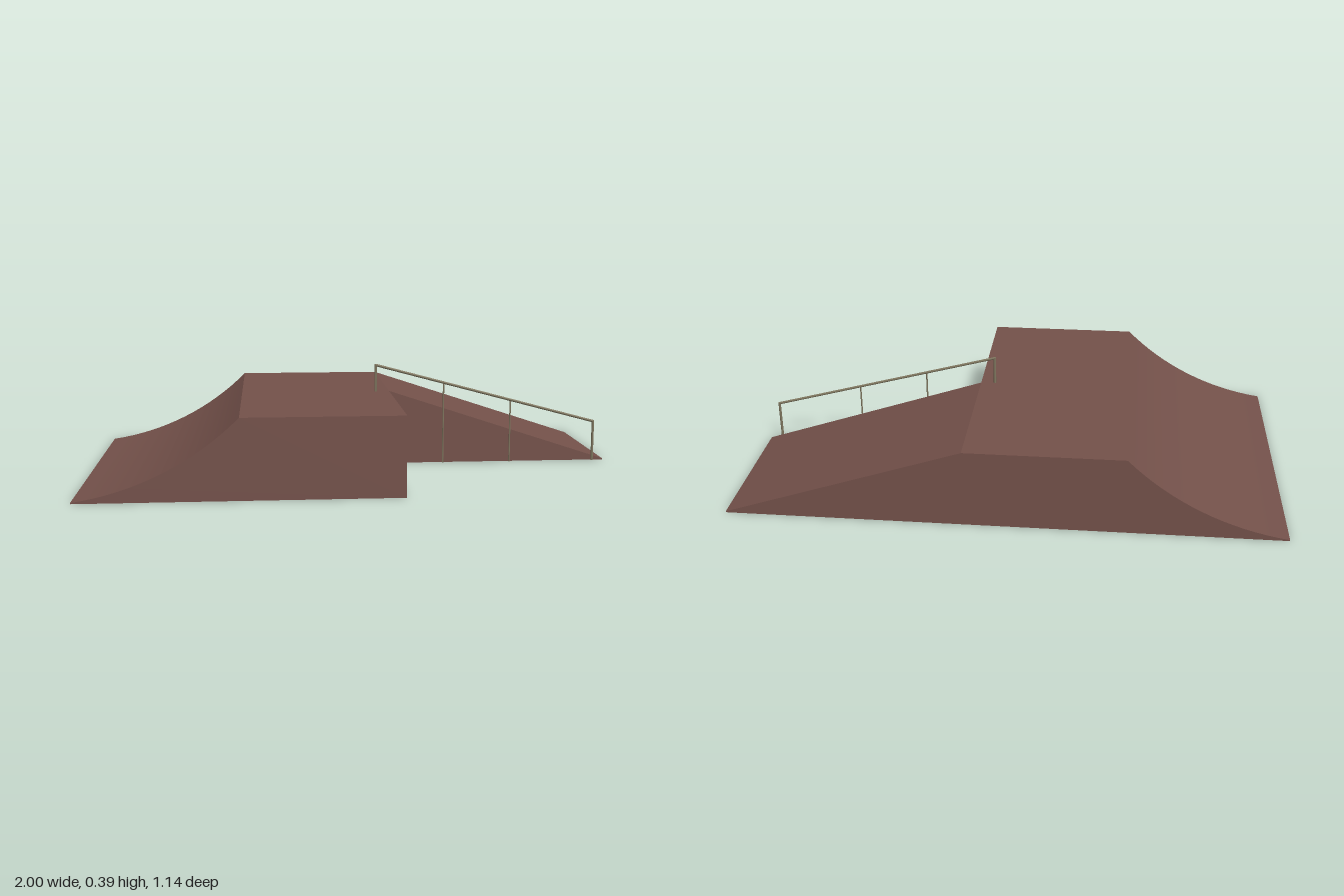
import * as THREE from 'three';

export function createModel() {
  const model = new THREE.Group();
  const brown = new THREE.MeshStandardMaterial({ color: 0x75524b, side: THREE.DoubleSide });
  brown.name = 'brown ramp';
  const khaki = new THREE.MeshStandardMaterial({ color: 0x80775f });
  khaki.name = 'khaki metal';

  const H = 0.287, LIP = 0.004, HALF = 0.571;
  const xLip = -0.43, xDrop = 0.14;

  const add = (name, geometry, material) => {
    const mesh = new THREE.Mesh(geometry, material);
    mesh.name = name;
    model.add(mesh);
    return mesh;
  };

  // Concave transition, an arc from 8 to 44.6 degrees of slope
  const a0 = THREE.MathUtils.degToRad(8), a1 = THREE.MathUtils.degToRad(44.6);
  const sx = (xLip + 1) / (Math.sin(a1) - Math.sin(a0));
  const sy = (H - LIP) / (Math.cos(a0) - Math.cos(a1));
  const arc = [];
  for (let i = 0; i <= 16; i++) {
    const a = a0 + (a1 - a0) * i / 16;
    arc.push(new THREE.Vector2(-1 + sx * (Math.sin(a) - Math.sin(a0)), LIP + sy * (Math.cos(a0) - Math.cos(a))));
  }

  // Surface swept along z over a profile, facing up for rising x
  const sweep = (name, profile, zBack, zFront) => {
    const geo = new THREE.PlaneGeometry(1, 1, profile.length - 1, 1);
    const pos = geo.attributes.position;
    for (let i = 0; i < pos.count; i++) {
      const p = profile[i % profile.length];
      pos.setXYZ(i, p.x, p.y, i < profile.length ? zBack : zFront);
    }
    geo.computeVertexNormals();
    return add(name, geo, brown);
  };
  const v = (x, y) => new THREE.Vector2(x, y);

  sweep('curvedTransition', arc, -HALF, HALF);
  sweep('deck', [v(xLip, H), v(xDrop, H)], -HALF, HALF);
  sweep('bankRamp', [v(xDrop, H), v(1, LIP)], -HALF, 0);
  sweep('curveToe', [v(-1, 0), v(-1, LIP)], -HALF, HALF);
  sweep('bankToe', [v(1, LIP), v(1, 0)], -HALF, 0);
  sweep('deckEndWall', [v(xDrop, H), v(xDrop, 0)], 0, HALF);

  // Upright side walls; the underside stays open
  const wall = (name, points, z, facesBack) => {
    const geo = new THREE.ShapeGeometry(new THREE.Shape(points));
    if (facesBack) {
      geo.index.array.reverse();
      geo.computeVertexNormals();
    }
    add(name, geo, brown).position.z = z;
  };
  wall('backWall', [v(-1, 0), v(1, 0), v(1, LIP), v(xDrop, H), ...[...arc].reverse()], -HALF, true);
  wall('frontWall', [v(-1, 0), v(xDrop, 0), v(xDrop, H), ...[...arc].reverse()], HALF, false);
  wall('bankSideWall', [v(xDrop, 0), v(1, 0), v(1, LIP), v(xDrop, H)], 0, false);

  // Handrail along the open side of the bank
  const zRail = 0.006;
  const bar = (name, x0, y0, x1, y1, r) => {
    const from = new THREE.Vector3(x0, y0, zRail), to = new THREE.Vector3(x1, y1, zRail);
    const dir = to.clone().sub(from);
    const mesh = add(name, new THREE.CylinderGeometry(r, r, dir.length(), 8), khaki);
    mesh.position.copy(from).add(to).multiplyScalar(0.5);
    mesh.quaternion.setFromUnitVectors(new THREE.Vector3(0, 1, 0), dir.normalize());
  };
  const railY = x => 0.39 + (x - 0.087) * (0.157 - 0.39) / (0.955 - 0.087);
  bar('handrail', 0.087, railY(0.087), 0.955, railY(0.955), 0.005);
  bar('upperPost', 0.087, H, 0.087, railY(0.087) + 0.003, 0.005);
  bar('lowerPost', 0.955, 0, 0.955, railY(0.955) + 0.003, 0.005);
  for (const x of [0.354, 0.62]) bar('middlePost', x, 0, x, railY(x), 0.003);

  return model;
}
